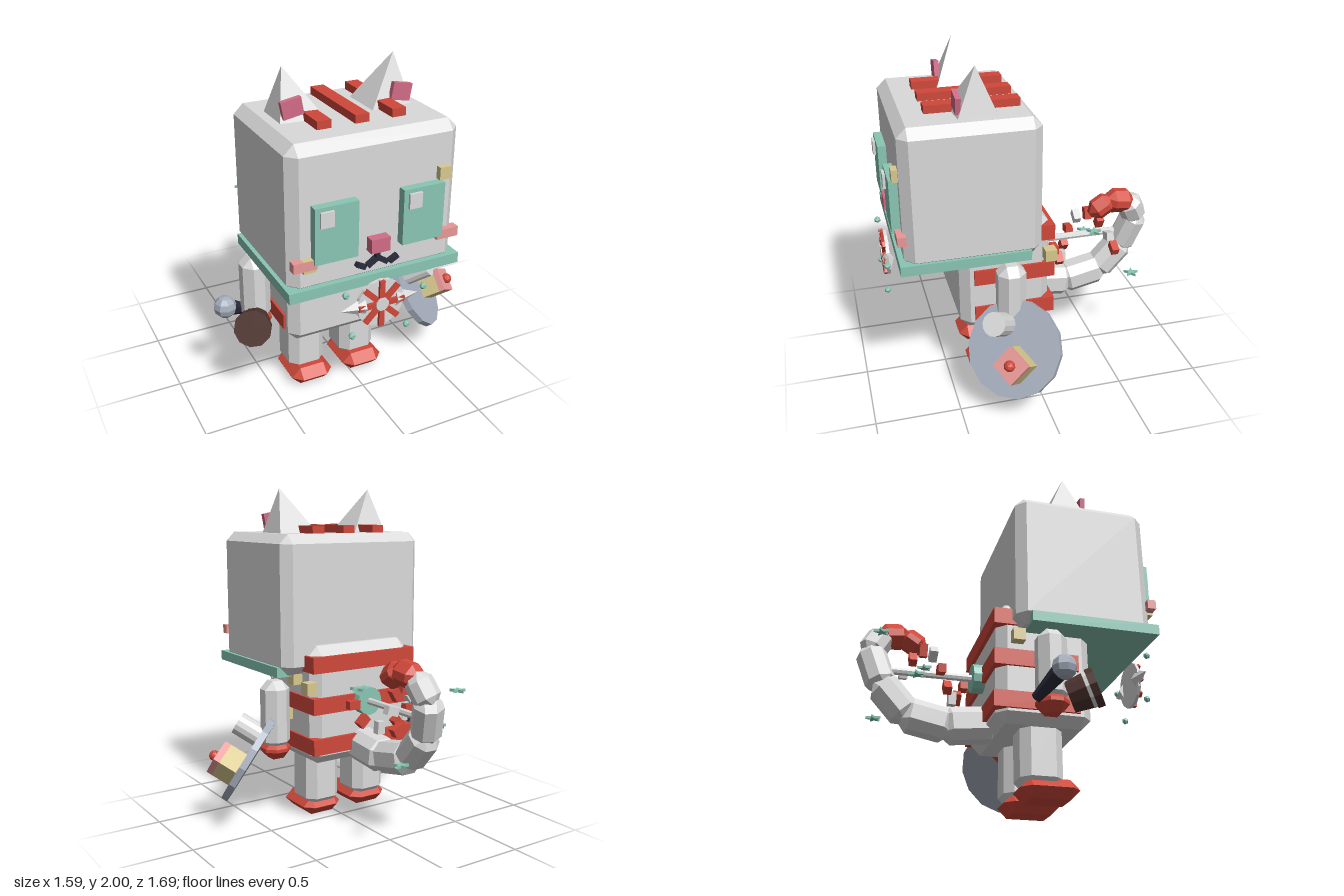
import * as THREE from 'three';
import { ConvexGeometry } from 'three/addons/geometries/ConvexGeometry.js';

const V = (x, y, z) => new THREE.Vector3(x, y, z);
const CX = -0.085; // symmetry plane of the body

function paint(name, hex) {
  const m = new THREE.MeshStandardMaterial({ color: hex, flatShading: true });
  m.name = name;
  return m;
}

// Box with all twelve edges cut off
function chamferBox(w, h, d, c) {
  const p = [];
  for (const x of [-w / 2, w / 2]) for (const y of [-h / 2, h / 2]) for (const z of [-d / 2, d / 2]) {
    const sx = Math.sign(x) * c, sy = Math.sign(y) * c, sz = Math.sign(z) * c;
    p.push(V(x, y - sy, z - sz), V(x - sx, y, z - sz), V(x - sx, y - sy, z));
  }
  return new ConvexGeometry(p);
}

export function createModel() {
  const root = new THREE.Group();
  const grey = paint('light grey', 0xdadada);
  const red = paint('red', 0xd0483a);
  const teal = paint('teal', 0x8ac6b4);
  const rose = paint('rose', 0xd26c88);
  const pink = paint('light pink', 0xeb9c9a);
  const khaki = paint('khaki', 0xd8c98f);
  const dark = paint('ink', 0x2b2b3c);
  const slate = paint('slate', 0xa6aebc);
  const brown = paint('brown', 0x503530);

  function add(name, geo, mat, x = 0, y = 0, z = 0, parent = root) {
    const m = new THREE.Mesh(geo, mat);
    m.name = name;
    m.position.set(x, y, z);
    parent.add(m);
    return m;
  }
  // Box given by its limits on each axis
  const box = (name, mat, x0, x1, y0, y1, z0, z1) =>
    add(name, new THREE.BoxGeometry(x1 - x0, y1 - y0, z1 - z0), mat, (x0 + x1) / 2, (y0 + y1) / 2, (z0 + z1) / 2);
  // Rod from a to b
  function rod(name, mat, a, b, r0, r1, sides) {
    const m = add(name, new THREE.CylinderGeometry(r1, r0, a.distanceTo(b), sides), mat);
    m.position.lerpVectors(a, b, 0.5);
    m.quaternion.setFromUnitVectors(V(0, 1, 0), b.clone().sub(a).normalize());
    return m;
  }

  // Head, collar plate and torso
  add('head', chamferBox(0.98, 0.82, 0.785, 0.055), grey, CX, 1.325, 0.363);
  box('collarPlate', teal, -0.595, 0.42, 0.905, 0.965, 0.045, 0.785);
  add('torso', chamferBox(0.7, 0.71, 0.54, 0.055), grey, CX, 0.735, 0.16);
  for (const y of [0.94, 0.695, 0.45]) box('backStripe', red, -0.45, 0.28, y, y + 0.095, -0.133, 0.35);
  for (const dx of [-0.215, 0, 0.215]) box('headStripe', red, CX + dx - 0.04, CX + dx + 0.04, 1.7, 1.78, 0.045, 0.58);

  // Paired parts
  for (const s of [-1, 1]) {
    const ear = add('ear', new THREE.ConeGeometry(0.2, 0.32, 4).rotateY(Math.PI / 4), grey, CX + s * 0.293, 1.843, 0.31);
    ear.rotation.z = -s * 0.2;
    const inner = add('innerEar', new THREE.BoxGeometry(0.115, 0.095, 0.03), rose, CX + s * 0.318, 1.81, 0.415);
    inner.rotation.z = -s * 0.18;
    add('eye', new THREE.BoxGeometry(0.245, 0.315, 0.06), teal, CX + s * 0.252, 1.265, 0.775);
    add('eyeHighlight', new THREE.BoxGeometry(0.075, 0.085, 0.04), grey, CX + s * 0.252 - 0.058, 1.358, 0.8);
    add('cheek', new THREE.BoxGeometry(0.132, 0.055, 0.05), pink, CX + s * 0.42, 1.107, 0.765);
    const inLip = add('mouthInner', new THREE.BoxGeometry(0.06, 0.025, 0.03), dark, CX + s * 0.033, 1.032, 0.77);
    inLip.rotation.z = -s * 0.6;
    const outLip = add('mouthOuter', new THREE.BoxGeometry(0.058, 0.025, 0.03), dark, CX + s * 0.097, 1.025, 0.77);
    outLip.rotation.z = s * 0.5;
    add('arm', chamferBox(0.165, 0.42, 0.165, 0.05), grey, CX + s * 0.46, 0.66, 0.158);
    add('handPaw', chamferBox(0.17, 0.12, 0.17, 0.05), red, CX + s * 0.46, 0.45, 0.158);
    add('leg', chamferBox(0.23, 0.42, 0.24, 0.05), grey, CX + s * 0.172, 0.27, 0.16);
    add('foot', chamferBox(0.262, 0.11, 0.33, 0.054), red, CX + s * 0.172, 0.055, 0.205);
  }
  box('nose', rose, -0.14, -0.03, 1.1, 1.18, 0.75, 0.81);
  box('mouthStem', dark, CX - 0.012, CX + 0.012, 1.035, 1.1, 0.755, 0.785);

  // Khaki cubes stuck on the head and body
  for (const [x, y, z] of [[0.3, 1.465, 0.755], [-0.48, 1.1, 0.755], [-0.46, 0.865, 0.0],
    [0.29, 0.655, 0.17], [0.29, 0.89, 0.055], [0.29, 0.855, -0.1]]) {
    add('cube', new THREE.BoxGeometry(0.07, 0.07, 0.07), khaki, x, y, z);
  }

  // Shield group: local z points out of the shield
  const n = V(0.66, 0.52, 0.54).normalize();
  const u = V(0, n.z, -n.y).normalize();
  const v = u.clone().cross(n);
  const shield = new THREE.Group();
  shield.name = 'shield';
  shield.position.set(0.54, 0.405, 0.18);
  shield.quaternion.setFromRotationMatrix(new THREE.Matrix4().makeBasis(v, u, n));
  root.add(shield);
  const local = (x, y, z) => {
    const d = V(x, y, z).sub(shield.position);
    return [d.dot(v), d.dot(u), d.dot(n)];
  };
  add('shieldDisc', new THREE.CylinderGeometry(0.285, 0.285, 0.04, 14).rotateX(Math.PI / 2), slate, 0, 0, 0, shield);
  add('shieldPost', new THREE.CylinderGeometry(0.07, 0.07, 0.16, 14).rotateX(Math.PI / 2), grey, ...local(0.5, 0.56, 0.26), shield);
  const [bx, by, bz] = local(0.725, 0.43, 0.255);
  add('shieldBlock', new THREE.BoxGeometry(0.155, 0.145, 0.115), khaki, bx, by, bz - 0.095, shield);
  add('shieldBlockCap', new THREE.BoxGeometry(0.155, 0.145, 0.04), pink, bx, by, bz - 0.02, shield);
  add('shieldButton', new THREE.IcosahedronGeometry(0.033, 1), red, bx, by, bz + 0.01, shield);

  // Microphone and cup held in the other hand
  rod('microphoneHandle', dark, V(-0.575, 0.46, 0.06), V(-0.715, 0.565, 0.15), 0.03, 0.05, 8);
  add('microphoneHead', new THREE.SphereGeometry(0.068, 8, 6), slate, -0.735, 0.58, 0.165);
  const axis = V(-0.45, 0.3, 0.84).normalize(), cup = V(-0.615, 0.505, 0.31);
  const along = t => cup.clone().addScaledVector(axis, t);
  rod('cupBody', brown, along(-0.08), along(0.02), 0.085, 0.098, 10);
  rod('cupBand', grey, along(0.02), along(0.04), 0.1, 0.1, 10);
  rod('cupLid', brown, along(0.04), along(0.08), 0.108, 0.108, 10);

  // Floating chest badge
  const badge = new THREE.Group();
  badge.name = 'badge';
  badge.position.set(CX, 0.803, 0.815);
  root.add(badge);
  const disc = r => new THREE.CylinderGeometry(r, r, 0.02, 16).rotateX(Math.PI / 2);
  add('badgeDisc', disc(0.14), grey, 0, 0, 0, badge);
  add('badgeHub', disc(0.038), grey, 0, 0, 0.022, badge);
  for (let i = 0; i < 8; i++) {
    const a = i * Math.PI / 4;
    const spoke = add('badgeSpoke', new THREE.BoxGeometry(0.1, 0.032, 0.02), red, 0.088 * Math.cos(a), 0.088 * Math.sin(a), 0.016, badge);
    spoke.rotation.z = a;
  }
  for (const s of [-1, 1]) {
    const spike = add('badgeSpike', new THREE.ConeGeometry(0.06, 0.14, 4), grey, s * 0.163, 0, 0, badge);
    spike.rotation.z = -s * Math.PI / 2;
    spike.scale.z = 0.6;
  }
  for (const [x, y] of [[-0.3, 0.91], [-0.26, 0.65], [0.075, 0.63], [0.17, 0.845]]) {
    add('bead', new THREE.IcosahedronGeometry(0.021, 0), teal, x, y, 0.835);
  }

  // Curled tail of faceted segments with a red tip
  const joints = [[-0.085, 0.47, -0.06], [-0.09, 0.44, -0.32], [-0.095, 0.485, -0.55], [-0.09, 0.65, -0.695],
    [-0.05, 0.86, -0.765], [-0.015, 0.985, -0.7], [0, 1.005, -0.57], [0, 0.94, -0.47]].map(p => V(...p));
  for (let i = 0; i < joints.length - 1; i++) {
    const a = joints[i], b = joints[i + 1], w = 0.195 - i * 0.01;
    const seg = add('tailSegment', chamferBox(w, w, a.distanceTo(b) + 0.06, 0.05), i > 4 ? red : grey);
    seg.position.lerpVectors(a, b, 0.5);
    seg.lookAt(b);
  }

  // Back spindle with a spiral of little blocks
  rod('spindleBase', teal, V(CX, 0.745, -0.1), V(CX, 0.745, -0.18), 0.085, 0.085, 12);
  rod('spindle', grey, V(CX, 0.745, -0.15), V(CX, 0.745, -0.655), 0.022, 0.022, 8);
  for (let i = 0; i < 10; i++) {
    const a = -i * 0.75, r = 0.135;
    const block = add('spiralBlock', new THREE.BoxGeometry(0.075, 0.05, 0.045), i % 3 === 2 ? grey : red,
      CX + r * Math.cos(a), 0.745 + r * Math.sin(a), -0.2 - i * 0.045);
    block.rotation.z = a;
  }

  // Floating stars
  const star = new THREE.Shape();
  for (let i = 0; i < 10; i++) {
    const a = i * Math.PI / 5 + Math.PI / 2, r = i % 2 ? 0.018 : 0.046;
    star[i ? 'lineTo' : 'moveTo'](r * Math.cos(a), r * Math.sin(a));
  }
  const starGeo = new THREE.ExtrudeGeometry(star, { depth: 0.016, bevelEnabled: false }).rotateX(-Math.PI / 2);
  for (const [x, y, z] of [[-0.285, 0.88, -0.73], [0.09, 0.508, -0.71], [-0.325, 0.63, -0.53], [0.17, 0.887, -0.415]]) {
    add('star', starGeo, teal, x, y, z);
  }
  return root;
}
